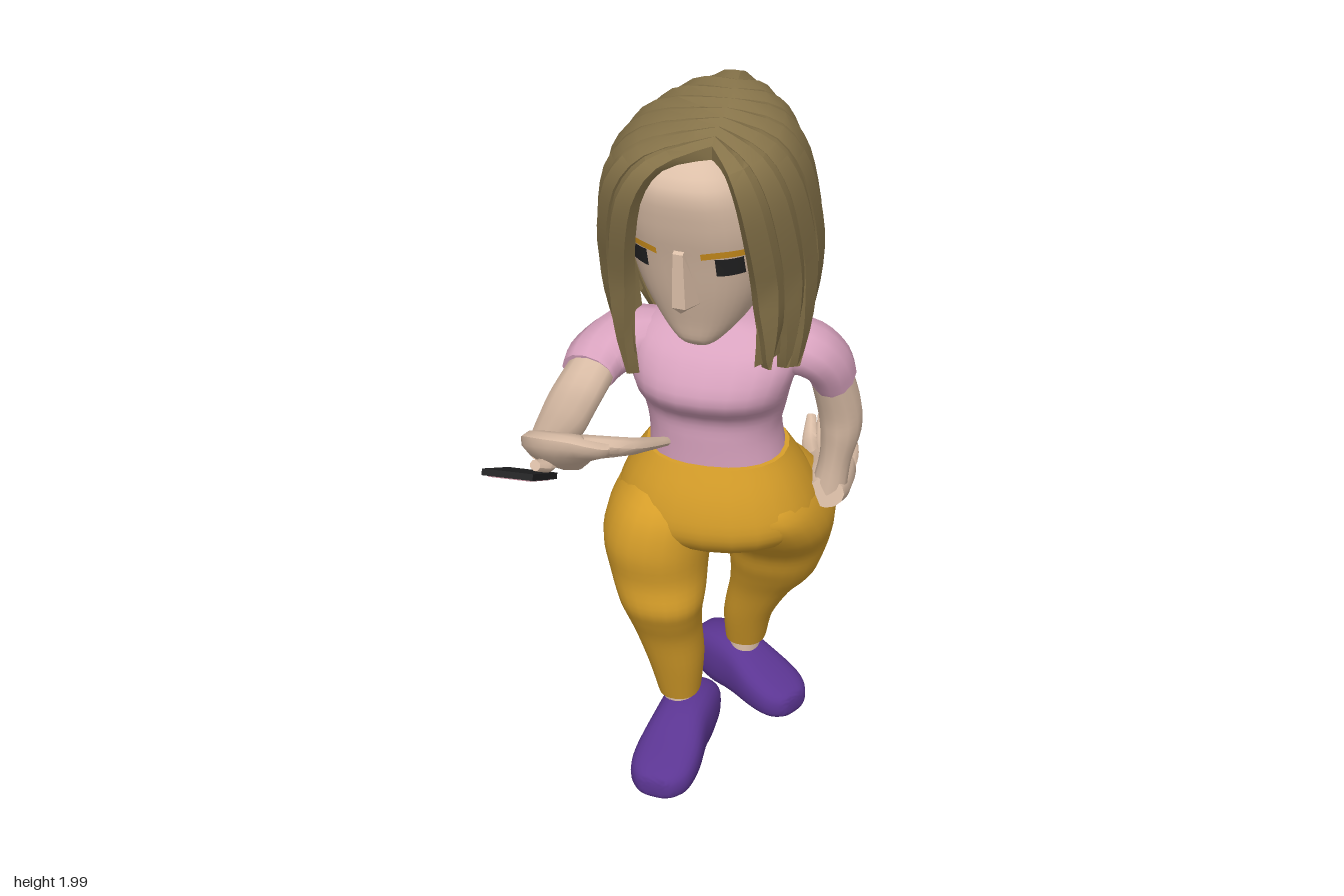
import * as THREE from 'three';
import { toCreasedNormals } from 'three/addons/utils/BufferGeometryUtils.js';
import { ConvexGeometry } from 'three/addons/geometries/ConvexGeometry.js';

const V = (x, y, z) => new THREE.Vector3(x, y, z);
const mat = (name, color) => Object.assign(new THREE.MeshStandardMaterial({ color }), { name });

// Catmull-Rom sample of a list of number rows, t in 0..1
function sample(rows, t) {
  const n = rows.length - 1, i = Math.min(n - 1, Math.floor(t * n)), u = t * n - i;
  const at = (k) => rows[Math.max(0, Math.min(n, k))];
  return rows[i].map((_, c) => {
    const a = at(i - 1)[c], b = at(i)[c], d = at(i + 1)[c], e = at(i + 2)[c];
    return b + 0.5 * u * (d - a + u * (2 * a - 5 * b + 4 * d - e + u * (3 * (b - d) + e - a)));
  });
}
const resample = (rows, k = 4) => {
  const n = (rows.length - 1) * k;
  return Array.from({ length: n + 1 }, (_, i) => sample(rows, i / n));
};

// Skin a list of closed rings of points, with capped ends
function skin(rings, crease = 0.8) {
  const n = rings[0].length, pos = [], idx = [];
  rings.forEach((r) => r.forEach((p) => pos.push(p.x, p.y, p.z)));
  for (let i = 0; i < rings.length - 1; i++) for (let j = 0; j < n; j++) {
    const a = i * n + j, b = i * n + (j + 1) % n;
    idx.push(a, b, a + n, b, b + n, a + n);
  }
  [0, rings.length - 1].forEach((e) => {
    const c = rings[e].reduce((s, p) => s.add(p), V(0, 0, 0)).divideScalar(n);
    const k = pos.length / 3;
    pos.push(c.x, c.y, c.z);
    for (let j = 0; j < n; j++) {
      const a = e * n + j, b = e * n + (j + 1) % n;
      if (e) idx.push(k, a, b); else idx.push(k, b, a);
    }
  });
  const g = new THREE.BufferGeometry();
  g.setAttribute('position', new THREE.Float32BufferAttribute(pos, 3));
  g.setIndex(idx);
  return toCreasedNormals(g, crease);
}

// Upright loft, rows are [cx, y, cz, rx, rz]
function loft(rows, power = 2, n = 24) {
  const pw = (v) => Math.sign(v) * Math.abs(v) ** (2 / power);
  return skin(resample(rows).map(([cx, y, cz, rx, rz]) => Array.from({ length: n }, (_, j) => {
    const a = (j / n) * Math.PI * 2;
    return V(cx + rx * pw(Math.cos(a)), y, cz - rz * pw(Math.sin(a)));
  })));
}
// Row from the front and back depth of a ring
const row = (y, rx, zf, zb, cx = 0) => [cx, y, (zf + zb) / 2, rx, (zf - zb) / 2];

// Limb along a path, rows are [x, y, z, half width, half thickness]
function limb(rows, up, n = 12) {
  const pts = resample(rows, 4);
  return skin(pts.map((p, i) => {
    const a = pts[Math.max(0, i - 1)], b = pts[Math.min(pts.length - 1, i + 1)];
    const T = V(b[0] - a[0], b[1] - a[1], b[2] - a[2]).normalize();
    const W = up.clone().cross(T).normalize(), H = T.clone().cross(W);
    return Array.from({ length: n }, (_, j) => {
      const q = (j / n) * Math.PI * 2;
      return V(p[0], p[1], p[2]).addScaledVector(W, p[3] * Math.cos(q)).addScaledVector(H, p[4] * Math.sin(q));
    });
  }));
}

// Hair surface: side s, angle from the front, t from parting to tip
const HAIR = [[0, 1.995], [0.56, 1.965], [0.84, 1.88], [0.96, 1.75], [1, 1.6], [0.95, 1.46], [0.82, 1.33]];
function hairPoint(s, angle, t, off, tip = 0) {
  const [f, y0] = sample(HAIR, t), k = Math.min(1, angle / Math.PI);
  const a = angle - 0.28 * (1 - t) * (1 - k);
  const y = y0 - (0.05 - 0.03 * k) * (1 - t) ** 2 + tip * t * t;
  const zc = -0.085 - (1.9 - Math.max(y, 1.6)) * 0.33, g = 1 + off / 0.25;
  const sn = Math.sin(a), ex = Math.sign(sn) * Math.abs(sn) ** 0.8;
  return V(0.05 * (1 - f) + f * g * s * 0.237 * ex, y + off * (1 - f),
    (0.165 - 0.435 * k) * (1 - f) + f * (zc + g * 0.275 * Math.cos(a)));
}

export function createModel() {
  const model = new THREE.Group();
  const skinMat = mat('skin', 0xdcbfa8), pink = mat('pink shirt', 0xd9a3bf), gold = mat('mustard trousers', 0xd9a02a);
  const purple = mat('purple shoes', 0x5b3592), brown = mat('brown hair', 0x87744a), black = mat('black', 0x232324);
  const screenMat = mat('screen', 0xb0828e), browMat = mat('eyebrow orange', 0xd9981e);
  brown.side = THREE.DoubleSide;
  const add = (name, geo, m, parent = model) => {
    const mesh = new THREE.Mesh(geo, m);
    mesh.name = name;
    parent.add(mesh);
    return mesh;
  };

  // Torso and trousers
  add('shirt', loft([row(0.99, 0.17, -0.115, -0.38, 0.005), row(1.08, 0.162, -0.11, -0.37), row(1.15, 0.175, -0.1, -0.365),
    row(1.23, 0.193, -0.04, -0.37), row(1.32, 0.21, -0.075, -0.355, 0.01), row(1.37, 0.17, -0.13, -0.31, 0.01),
    row(1.395, 0.07, -0.16, -0.27)], 2.3), pink);
  add('trouserHips', loft([row(0.72, 0.15, -0.18, -0.42), row(0.77, 0.225, -0.1, -0.48), row(0.83, 0.255, -0.062, -0.495),
    row(0.92, 0.228, -0.07, -0.455), row(1.015, 0.177, -0.1, -0.387, 0.005)], 2.2), gold);
  add('rightTrouserLeg', loft([row(0.2, 0.055, -0.205, -0.34, -0.1), row(0.32, 0.072, -0.165, -0.335, -0.105),
    row(0.44, 0.085, -0.125, -0.31, -0.118), row(0.52, 0.097, -0.085, -0.285, -0.122), row(0.58, 0.11, -0.06, -0.29, -0.125),
    row(0.66, 0.124, -0.063, -0.35, -0.138), row(0.76, 0.139, -0.048, -0.43, -0.142), row(0.86, 0.125, -0.065, -0.44, -0.127),
    row(0.95, 0.07, -0.13, -0.38, -0.11)], 2.3), gold);
  add('leftTrouserLeg', loft([row(0.2, 0.055, -0.47, -0.6, 0.03), row(0.32, 0.067, -0.42, -0.565, 0.045),
    row(0.44, 0.085, -0.37, -0.53, 0.085), row(0.52, 0.108, -0.325, -0.515, 0.117), row(0.58, 0.121, -0.29, -0.528, 0.13),
    row(0.66, 0.133, -0.25, -0.54, 0.14), row(0.76, 0.142, -0.16, -0.535, 0.143), row(0.86, 0.125, -0.1, -0.49, 0.127),
    row(0.95, 0.07, -0.14, -0.4, 0.11)], 2.3), gold);

  // Ankles and shoes
  [['right', -0.1, -0.275, -0.09, -0.19, -0.13, 1.02], ['left', 0.025, -0.54, 0.04, -0.52, 1.0, 0.95]].forEach(
    ([side, ax, az, x, z, yaw, size]) => {
      add(side + 'Ankle', loft([[ax, 0.1, az, 0.042, 0.05], [ax, 0.22, az, 0.042, 0.05]]), skinMat);
      const g = loft([[0, -0.187, -0.09, 0.03, 0.035], [0, -0.17, -0.09, 0.062, 0.065], [0, -0.1, -0.088, 0.072, 0.086],
        [0, -0.02, -0.087, 0.075, 0.083], [0, 0.07, -0.07, 0.086, 0.064], [0, 0.14, -0.057, 0.08, 0.05],
        [0, 0.18, -0.052, 0.05, 0.034], [0, 0.188, -0.052, 0.02, 0.015]], 2.8);
      g.rotateX(Math.PI / 2);
      const shoe = add(side + 'Shoe', g, purple);
      shoe.scale.set(size, 1, size);
      shoe.position.set(x, 0.005, z);
      shoe.rotation.y = yaw;
    });

  // Sleeves and arms
  const up = V(0, 1, 0), ahead = V(0, 0, 1);
  add('rightSleeve', limb([[-0.1, 1.31, -0.23, 0.07, 0.06], [-0.2, 1.31, -0.2, 0.085, 0.07],
    [-0.262, 1.285, -0.14, 0.078, 0.062], [-0.28, 1.268, -0.08, 0.067, 0.054]], up), pink);
  add('rightArm', limb([[-0.265, 1.28, -0.13, 0.058, 0.048], [-0.288, 1.255, 0.02, 0.062, 0.044], [-0.285, 1.27, 0.16, 0.058, 0.043],
    [-0.275, 1.315, 0.3, 0.045, 0.035], [-0.255, 1.355, 0.4, 0.035, 0.028]], up), skinMat);
  add('leftSleeve', limb([[0.12, 1.315, -0.22, 0.07, 0.07], [0.215, 1.315, -0.225, 0.066, 0.085],
    [0.265, 1.27, -0.25, 0.06, 0.077], [0.283, 1.215, -0.275, 0.056, 0.07]], ahead), pink);
  add('leftArm', limb([[0.27, 1.25, -0.26, 0.05, 0.06], [0.293, 1.12, -0.305, 0.055, 0.062], [0.298, 1.04, -0.32, 0.052, 0.064],
    [0.288, 0.95, -0.318, 0.04, 0.052], [0.275, 0.86, -0.31, 0.045, 0.042]], ahead), skinMat);

  // Hands: flat palm, four fingers between two guide lines, and a thumb
  function hand(side, palm, normal, knuckles, mids, tips, thumb) {
    const g = new THREE.Group();
    g.name = side + 'Hand';
    model.add(g);
    add('palm', limb(palm, normal), skinMat, g);
    for (let i = 0; i < 4; i++) {
      const at = ([a, b]) => a.map((v, c) => v + (b[c] - v) * (i / 3));
      add('finger', limb([[...at(knuckles), 0.024, 0.022], [...at(mids), 0.022, 0.019], [...at(tips), 0.012, 0.01]], normal, 8), skinMat, g);
    }
    add('thumb', limb(thumb.map((p, i) => [...p, 0.026 - i * 0.006, 0.024 - i * 0.006]), normal, 8), skinMat, g);
  }
  hand('right', [[-0.26, 1.35, 0.38, 0.04, 0.028], [-0.215, 1.41, 0.475, 0.08, 0.034], [-0.15, 1.435, 0.495, 0.085, 0.03],
    [-0.1, 1.435, 0.48, 0.065, 0.02]], V(0.3, 0.75, -0.6),
  [[-0.14, 1.47, 0.53], [-0.12, 1.405, 0.44]], [[-0.055, 1.44, 0.47], [-0.07, 1.39, 0.4]], [[0, 1.37, 0.33], [-0.05, 1.35, 0.33]],
  [[-0.22, 1.385, 0.43], [-0.225, 1.39, 0.5], [-0.24, 1.41, 0.54]]);
  hand('left', [[0.275, 0.87, -0.27, 0.045, 0.04], [0.27, 0.855, -0.34, 0.06, 0.055], [0.262, 0.84, -0.42, 0.066, 0.045],
    [0.252, 0.835, -0.49, 0.062, 0.026]], up,
  [[0.21, 0.835, -0.47], [0.3, 0.835, -0.47]], [[0.19, 0.835, -0.55], [0.295, 0.84, -0.54]], [[0.18, 0.87, -0.62], [0.265, 0.888, -0.63]],
  [[0.23, 0.835, -0.33], [0.205, 0.815, -0.42], [0.2, 0.81, -0.49]]);

  // Phone with its screen on the lower face
  const phone = new THREE.Group();
  phone.name = 'phone';
  phone.position.set(-0.265, 1.405, 0.57);
  phone.rotation.x = -0.563;
  model.add(phone);
  add('phoneBody', new THREE.BoxGeometry(0.11, 0.014, 0.222), black, phone);
  add('phoneScreen', new THREE.BoxGeometry(0.092, 0.004, 0.175), screenMat, phone).position.y = -0.008;

  // Head, turned slightly to its right
  const head = new THREE.Group();
  head.name = 'head';
  head.position.z = -0.15;
  head.rotation.y = -0.13;
  model.add(head);
  const face = [row(1.385, 0.03, 0.085, 0), row(1.41, 0.06, 0.12, -0.07), row(1.47, 0.11, 0.14, -0.15),
    row(1.56, 0.152, 0.17, -0.2), row(1.66, 0.174, 0.2, -0.22), row(1.76, 0.178, 0.23, -0.22),
    row(1.86, 0.15, 0.24, -0.18), row(1.93, 0.08, 0.17, -0.1)];
  add('face', loft(face, 2.6, 36), skinMat, head);
  add('neck', limb([[0, 1.34, -0.22, 0.065, 0.065], [0, 1.47, -0.17, 0.06, 0.06]], ahead), skinMat);
  const fine = resample(face, 8);
  const faceZ = (x, y) => {
    const i = fine.findIndex((r) => r[1] > y), a = fine[i - 1], b = fine[i], u = (y - a[1]) / (b[1] - a[1]);
    const [, , cz, rx, rz] = a.map((v, c) => v + (b[c] - v) * u);
    return cz + rz * Math.max(0, 1 - Math.abs(x / rx) ** 2.6) ** (1 / 2.6);
  };
  // Thin plate lying on the face
  const patch = (x, y, w, h, lift, bend = 0) => {
    const g = new THREE.PlaneGeometry(w, h, 8, 3), p = g.attributes.position;
    for (let i = 0; i < p.count; i++) {
      const px = p.getX(i) + x, py = p.getY(i) + y - bend * (p.getX(i) / w) ** 2;
      p.setXYZ(i, px, py, faceZ(px, py) + lift);
    }
    g.computeVertexNormals();
    return g;
  };
  [-1, 1].forEach((s) => {
    const side = s < 0 ? 'right' : 'left';
    add(side + 'Eye', patch(s * 0.108, 1.657, 0.055, 0.05, 0.006), black, head);
    add(side + 'Eyebrow', patch(s * 0.107, 1.697, 0.11, 0.018, 0.009, 0.03), browMat, head);
  });
  add('nose', new ConvexGeometry([V(-0.012, 1.7, 0.2), V(0.012, 1.7, 0.2), V(-0.012, 1.69, 0.22), V(0.012, 1.69, 0.22),
    V(-0.016, 1.55, 0.215), V(0.016, 1.55, 0.215), V(-0.036, 1.54, 0.15), V(0.036, 1.54, 0.15), V(0, 1.53, 0.2)]), skinMat, head);

  // Hair: an under layer, then overlapping locks falling from a side parting
  const hair = new THREE.Group();
  hair.name = 'hair';
  model.add(hair);
  const rad = Math.PI / 180;
  [-1, 1].forEach((s) => {
    const cap = new THREE.PlaneGeometry(1, 1, 14, 16), p = cap.attributes.position;
    for (let i = 0; i < p.count; i++) {
      const q = hairPoint(s, (38 + 142 * (p.getX(i) + 0.5)) * rad, (0.5 - p.getY(i)) * 0.9, -0.008);
      p.setXYZ(i, q.x, q.y, q.z);
    }
    cap.computeVertexNormals();
    add('hairUnderLayer', cap, brown, hair);
    for (let i = 0; i < 8; i++) {
      const mid = 49 + i * 17.7, tip = 0.03 * Math.sin(i * 2.4 + s) + (i < 2 ? 0.03 : -0.005);
      const rings = Array.from({ length: 17 }, (_, k) => {
        const t = k / 16, w = 13.5 * (1 - 0.92 * Math.max(0, (t - 0.7) / 0.3) ** 1.5);
        const ring = [[-1, -0.015], [-0.95, 0.016], [-0.1, 0.024], [1, 0.002], [1, -0.015]].map(([v, off]) =>
          hairPoint(s, (mid + v * w) * rad, t, off, tip));
        return s > 0 ? ring : ring.reverse();
      });
      add('hairLock', skin(rings, 0.5), brown, hair);
    }
  });
  return model;
}
